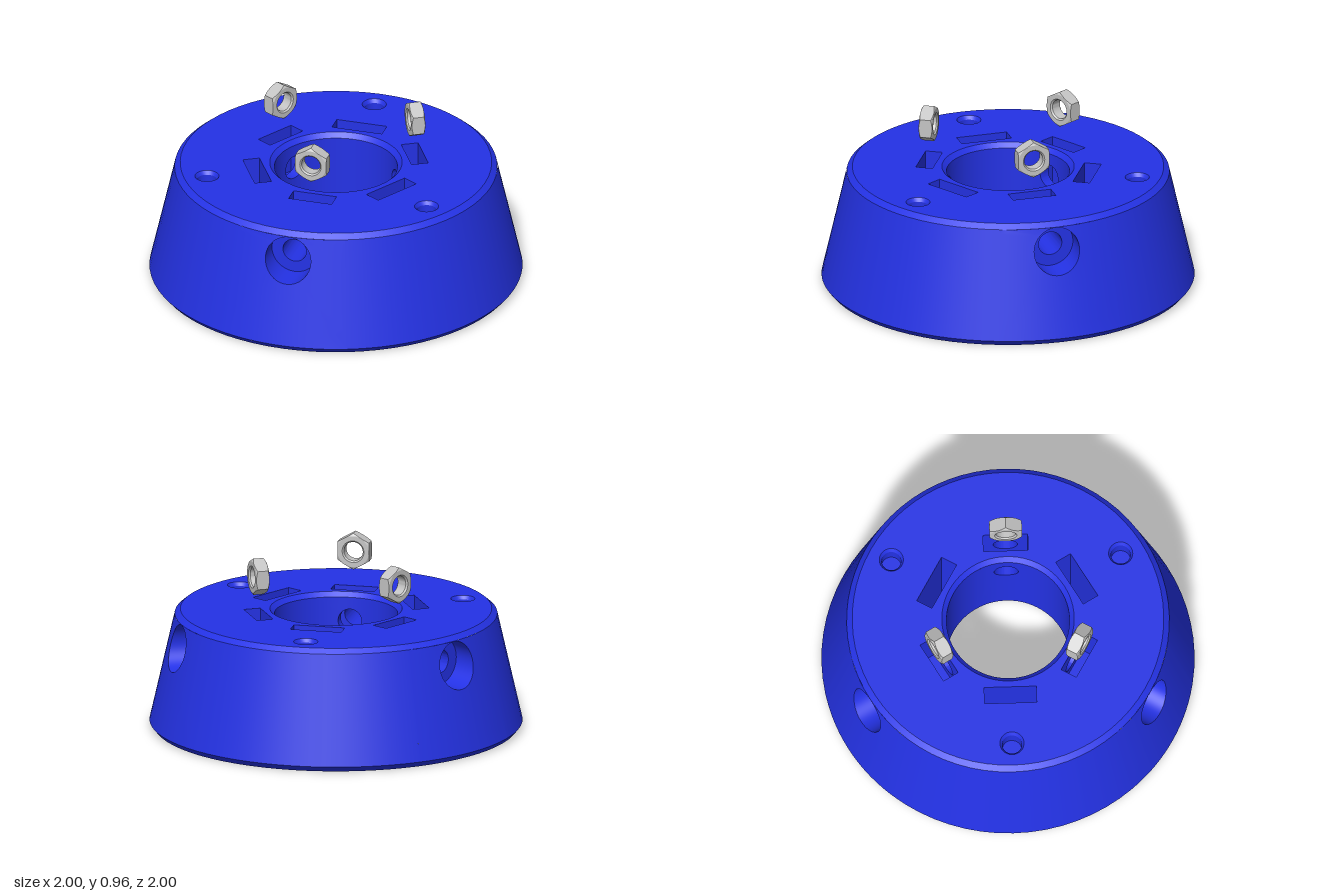
import * as THREE from 'three';
import { toCreasedNormals } from 'three/addons/utils/BufferGeometryUtils.js';

const N = 64, SEG = 72, BORE_Y = 0.49, BORE = 0.065, SINK = 0.127;
const SLOT_IN = 0.388, SLOT_OUT = 0.48;
const outerR = (y) => 1 - (y - 0.03) * (0.135 / 0.59);
const innerR = () => 0.33;
const turn = (n, fn) => Array.from({ length: n }, (_, i) => fn((i / n) * Math.PI * 2));

// Joins loops of points into a surface
function skin(loops, flip = false, closed = true) {
  const pos = [], idx = [], n = loops[0].length;
  loops.forEach((l) => l.forEach((p) => pos.push(...p)));
  for (let i = 0; i < loops.length - 1; i++) {
    for (let j = 0; j < (closed ? n : n - 1); j++) {
      const a = i * n + j, b = i * n + ((j + 1) % n), c = b + n, d = a + n;
      if (flip) idx.push(a, c, b, a, d, c);
      else idx.push(a, b, c, a, c, d);
    }
  }
  const g = new THREE.BufferGeometry();
  g.setAttribute('position', new THREE.Float32BufferAttribute(pos, 3));
  g.setIndex(idx);
  return toCreasedNormals(g, 0.4);
}

// Loops in the sector frame: x is radial, z is tangential
const rect = (x0, x1, hz, y) => [[x0, y, -hz], [x1, y, -hz], [x1, y, hz], [x0, y, hz]];
const disc = (cx, r, y) => turn(32, (t) => [cx + r * Math.cos(t), y, r * Math.sin(t)]);
const point = (x, y, n) => Array.from({ length: n }, () => [x, y, 0]);
const ring = (x, r) => turn(N, (t) => [x, BORE_Y + r * Math.cos(t), r * Math.sin(t)]);
const square = (t) => {
  const s = Math.sin(t), c = Math.cos(t), m = Math.max(Math.abs(s), Math.abs(c));
  return [s / m, c / m];
};
const stretch = (v, y0, y1) => BORE_Y + v * (v > 0 ? y1 - BORE_Y : BORE_Y - y0);
// Where a radial bore meets a round wall
const cut = (r, wallR) => turn(N, (t) => {
  const y = BORE_Y + r * Math.cos(t), z = r * Math.sin(t);
  return [Math.sqrt(wallR(y) ** 2 - z * z), y, z];
});

// Piece of round wall with a bore opening
function boredWall(wallR, r, half, y0, y1, flip) {
  const loops = [];
  for (let k = 0; k <= 5; k++) {
    loops.push(turn(N, (t) => {
      const f = k / 5, [u, v] = square(t);
      const hy = BORE_Y + r * Math.cos(t);
      const ha = Math.asin((r * Math.sin(t)) / wallR(hy));
      const a = ha + (half * u - ha) * f, y = hy + (stretch(v, y0, y1) - hy) * f;
      return [wallR(y) * Math.cos(a), y, wallR(y) * Math.sin(a)];
    }));
  }
  return skin(loops, flip);
}

// Flat slot wall with a bore opening
const flatBoredWall = (x, hz, y0, y1, flip) => skin([
  turn(N, (t) => { const [u, v] = square(t); return [x, stretch(v, y0, y1), hz * u]; }),
  ring(x, BORE),
], flip);

const lathe = (pts, start = 0, len = Math.PI * 2, seg = SEG) =>
  new THREE.LatheGeometry(pts.map((p) => new THREE.Vector2(...p)), seg, start, len);

// Ring plate with openings; each opening is a loop turned by a number of degrees
function plate(outer, inner, openings) {
  const s = new THREE.Shape().absarc(0, 0, outer, 0, Math.PI * 2);
  s.holes.push(new THREE.Path().absarc(0, 0, inner, 0, Math.PI * 2, true));
  for (const [loop, deg] of openings) {
    const a = THREE.MathUtils.degToRad(deg), c = Math.cos(a), d = Math.sin(a);
    s.holes.push(new THREE.Path(loop.map(([x, , z]) => new THREE.Vector2(x * c - z * d, x * d + z * c))));
  }
  return new THREE.ShapeGeometry(s, SEG / 2);
}

// Hexagonal nut with turned corners, axis along x
function nutGeometry() {
  const h = 0.037, flat = 0.087, face = 0.086;
  const hex = (t) => flat / Math.cos((t % (Math.PI / 3)) - Math.PI / 6);
  const loop = (x, r) => turn(48, (t) => [x, r * Math.cos(t), r * Math.sin(t)]);
  const edge = (sign) => turn(48, (t) => {
    const r = hex(t);
    return [sign * (h - (r - face) * 0.6), r * Math.cos(t), r * Math.sin(t)];
  });
  return skin([edge(-1), edge(1), loop(h, face), loop(h, 0.06), loop(h - 0.008, 0.052),
    loop(-h + 0.008, 0.052), loop(-h, 0.06), loop(-h, face), edge(-1)]);
}

export function createModel() {
  const blue = new THREE.MeshStandardMaterial({ color: 0x2432e6 });
  const steel = new THREE.MeshStandardMaterial({ color: 0xc4c4c4 });
  blue.name = 'blue';
  steel.name = 'steel';
  const model = new THREE.Group();
  const add = (parent, name, geo, mat = blue) => {
    const m = new THREE.Mesh(geo, mat);
    m.name = name;
    parent.add(m);
    return m;
  };
  const sector = (name, deg) => {
    const g = new THREE.Group();
    g.name = name;
    g.rotation.y = -THREE.MathUtils.degToRad(deg);
    model.add(g);
    return g;
  };
  const TOP = 0.645, nutHalf = 0.12, nutFloor = 0.37;

  // Chamfered rims
  add(model, 'bottomRim', lathe([[0.975, 0], [1, 0.03]]));
  add(model, 'topRim', lathe([[0.865, 0.62], [0.835, TOP]]));
  add(model, 'centreTopRim', lathe([[0.355, TOP], [0.33, 0.62]]));
  add(model, 'centreBottomRim', lathe([[0.33, 0.025], [0.355, 0]]));

  // Top and bottom faces with their openings
  const topHoles = [], bottomHoles = [];
  for (let i = 0; i < 6; i++) {
    const deg = i * 60, nutSide = i % 2 === 0;
    topHoles.push([rect(SLOT_IN, SLOT_OUT, nutSide ? nutHalf : 0.14, 0), deg]);
    if (!nutSide) topHoles.push([disc(0.71, BORE, 0), deg]);
    bottomHoles.push([rect(SLOT_IN, SLOT_OUT, nutSide ? 0.17 : 0.14, 0), deg]);
    bottomHoles.push([rect(0.54, 0.83, 0.3, 0), deg]);
  }
  add(model, 'topFace', plate(0.835, 0.355, topHoles).rotateX(-Math.PI / 2)).position.y = TOP;
  add(model, 'bottomFace', plate(0.975, 0.355, bottomHoles).rotateX(Math.PI / 2));

  for (let i = 0; i < 6; i++) {
    const nutSide = i % 2 === 0;
    const g = sector(nutSide ? 'boreSector' : 'slotSector', i * 60);

    // Hollow pocket underneath
    add(g, 'underPocket', skin([rect(0.54, 0.83, 0.3, 0), rect(0.56, 0.81, 0.28, 0.025),
      rect(0.56, 0.81, 0.28, 0.3), point(0.685, 0.3, 4)]));

    if (!nutSide) {
      // Through slot and small blind hole
      add(g, 'throughSlot', skin([rect(SLOT_IN, SLOT_OUT, 0.14, 0), rect(SLOT_IN, SLOT_OUT, 0.14, TOP)]));
      add(g, 'blindHole', skin([disc(0.71, BORE, TOP), disc(0.71, 0.052, TOP - 0.02),
        disc(0.71, 0.052, TOP - 0.1), point(0.71, TOP - 0.1, 32)], true));
      continue;
    }

    // Outer and inner walls of this third of the body
    for (const [name, wallR, r, half, y0, y1, outside] of [
      ['outerWall', outerR, SINK, Math.PI / 9, 0.03, 0.62, true],
      ['innerWall', innerR, BORE, Math.PI / 6, 0.025, 0.62, false]]) {
      add(g, name + 'Opening', boredWall(wallR, r, half, y0, y1, outside));
      const pts = [[wallR(y0), y0], [wallR(y1), y1]];
      if (!outside) pts.reverse();
      const len = 2 * (Math.PI / 3 - half);
      add(g, name, lathe(pts, Math.PI / 6 - len / 2, len, outside ? 16 : 12));
    }

    // Counterbored radial hole, interrupted by the nut slot
    add(g, 'screwBore', skin([cut(SINK, outerR), ring(0.765, SINK), ring(0.765, BORE), ring(SLOT_OUT, BORE)]));
    add(g, 'screwBoreEnd', skin([ring(SLOT_IN, BORE), cut(BORE, innerR)]));

    // Nut slot
    const trough = (x) => [[x, TOP, -nutHalf], [x, nutFloor, -nutHalf], [x, nutFloor, nutHalf], [x, TOP, nutHalf]];
    add(g, 'nutSlot', skin([trough(SLOT_IN), trough(SLOT_OUT)], false, false));
    add(g, 'nutSlotInnerWall', flatBoredWall(SLOT_IN, nutHalf, nutFloor, TOP, false));
    add(g, 'nutSlotOuterWall', flatBoredWall(SLOT_OUT, nutHalf, nutFloor, TOP, true));
    add(g, 'underSlot', skin([rect(SLOT_IN, SLOT_OUT, 0.17, 0), rect(SLOT_IN, SLOT_OUT, 0.17, 0.25),
      point((SLOT_IN + SLOT_OUT) / 2, 0.25, 4)]));

    // Nut hovering above its slot
    add(g, 'nut', nutGeometry(), steel).position.set(0.435, 0.855, 0);
  }
  return model;
}
